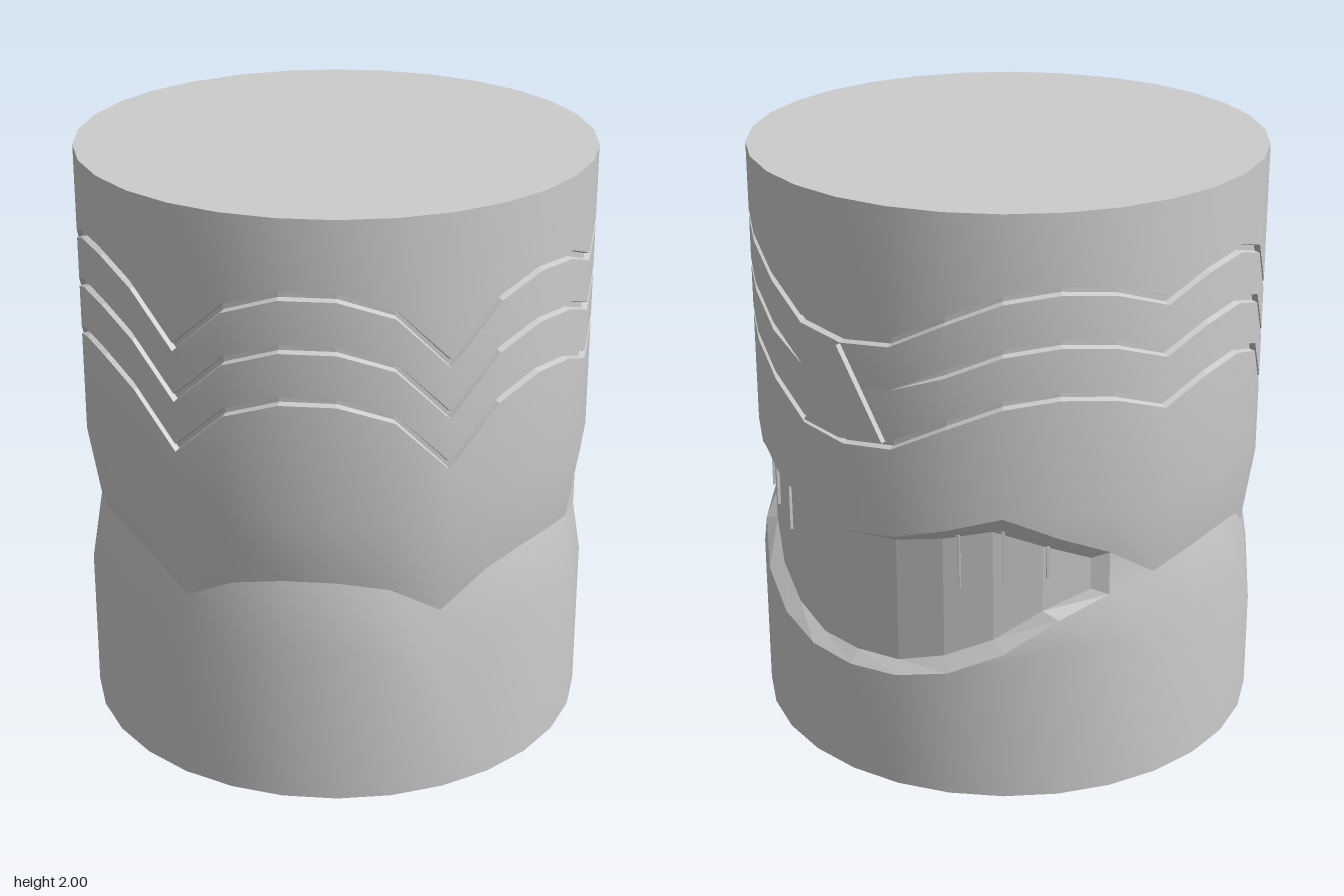
import * as THREE from 'three';
import { ConvexGeometry } from 'three/addons/geometries/ConvexGeometry.js';

const N = 30, R = 0.86, CX = -0.01, STEP = (Math.PI * 2) / N;
const GREY = { color: 0xcccccc };

// Signed column (-14..15); the whole shape mirrors about column 0, which faces +x
const col = k => { const m = ((k % N) + N) % N; return m > 15 ? m - N : m; };
const at = (table, k) => table[Math.abs(col(k))];

// Height of the wave at each column, from column 0 round to column 15
const WAVE = [1.56, 1.58, 1.67, 1.745, 1.77, 1.75, 1.69, 1.755, 1.77, 1.715, 1.53, 1.71, 1.77, 1.77, 1.71, 1.55];
const wave = k => at(WAVE, k);

// Mouth rim and recessed floor, columns 0 to 5
const RIM_TOP = [0.89, 0.91, 0.96, 1.01, 0.93, 0.85], RIM_LOW = [0.40, 0.41, 0.45, 0.53, 0.64, 0.70];
const FLOOR_TOP = [0.87, 0.88, 0.91, 0.945, 0.89, 0.83], FLOOR_LOW = [0.44, 0.445, 0.49, 0.56, 0.66, 0.72];
const RIM_R = [R, R, R, R, 0.85, 0.832];
const inMouth = k => Math.abs(col(k)) <= 5;

// Skin through rows (top to bottom); each row maps a column to [radius, y, angle in columns]
function skin(name, rows, { from = 0, to = N, keep = () => true, flat = false } = {}) {
  const closed = to - from === N, cols = closed ? N : to - from + 1;
  const pos = [], idx = [];
  rows.forEach(row => {
    for (let i = 0; i < cols; i++) {
      const k = from + i, [r, y, a = k] = row(k);
      pos.push(CX + r * Math.cos(a * STEP), y, r * Math.sin(a * STEP));
    }
  });
  for (let j = 0; j < rows.length - 1; j++) {
    for (let i = 0; i < to - from; i++) {
      if (!keep(from + i, j)) continue;
      const n = (i + 1) % cols, tr = j * cols + i, tl = j * cols + n;
      const br = tr + cols, bl = tl + cols;
      idx.push(tl, bl, br, tl, br, tr);
    }
  }
  const geo = new THREE.BufferGeometry();
  geo.setAttribute('position', new THREE.Float32BufferAttribute(pos, 3));
  geo.setIndex(idx);
  geo.computeVertexNormals();
  const mesh = new THREE.Mesh(geo, new THREE.MeshStandardMaterial({ ...GREY, flatShading: flat }));
  mesh.name = name;
  return mesh;
}

export function createModel() {
  const g = new THREE.Group();
  g.name = 'carvedCylinder';

  // Three wavy grooves; the middle one closes behind the triangle
  const groove = i => {
    const open = k => (i === 1 && Math.abs(col(k)) <= 1 ? 0 : 1);
    const y = k => wave(k) - 0.17 * i;
    return {
      top: k => [R, y(k)],
      inTop: k => [R - 0.02 * open(k), y(k) - 0.004 * open(k)],
      inLow: k => [R - 0.02 * open(k), y(k) - 0.022 * open(k)],
      low: k => [R, y(k) - 0.028 * open(k)],
    };
  };
  const grooves = [0, 1, 2].map(groove);
  grooves.forEach((v, i) => {
    g.add(skin('groove' + (i + 1), [v.top, v.inTop, v.inLow, v.low], { flat: true }));
  });

  // Pinched waist, which opens into the mouth on the +x side
  const waist = k => [0.82, 0.78 + (wave(k) - 1.77) * 0.56];
  const rimTop = k => inMouth(k) ? [at(RIM_R, k), at(RIM_TOP, k)] : waist(k);
  const rimLow = k => inMouth(k) ? [at(RIM_R, k), at(RIM_LOW, k)] : waist(k);
  const upper = k => [R, Math.max(0.92 + (wave(k) - 1.54) * 0.43, rimTop(k)[1] + 0.02)];
  const lower = k => [R, Math.min(0.55 + (wave(k) - 1.77) * 0.87, rimLow(k)[1] - 0.02)];

  // Outer wall bands
  g.add(skin('topBand', [() => [R, 2], grooves[0].top]));
  g.add(skin('upperBand', [grooves[0].low, grooves[1].top]));
  g.add(skin('middleBand', [grooves[1].low, grooves[2].top]));
  g.add(skin('waistUpper', [grooves[2].low, upper, rimTop]));
  g.add(skin('waistLower', [rimTop, rimLow, lower, () => [R, 0]], {
    keep: (k, j) => j > 0 || !(inMouth(k) && inMouth(k + 1)),
  }));

  // Mouth recess: sloping rim and floor
  const inner = k => k * 0.935;
  const floorR = k => 0.82 - 0.002 * Math.abs(k);
  const floorTop = k => [floorR(k), at(FLOOR_TOP, k), inner(k)];
  const floorLow = k => [floorR(k), at(FLOOR_LOW, k), inner(k)];
  const mouth = new THREE.Group();
  mouth.name = 'mouth';
  mouth.add(skin('mouthRecess', [rimTop, floorTop, floorLow, rimLow], { from: -5, to: 5, flat: true }));

  // Rim walls at the two mouth corners
  for (const s of [1, -1]) {
    const p = ([r, y, a = 5 * s]) => new THREE.Vector3(CX + r * Math.cos(a * STEP), y, r * Math.sin(a * STEP));
    const k = 5 * s;
    const q = [rimTop(k), floorTop(k), floorLow(k), rimLow(k)].map(p);
    const geo = new THREE.BufferGeometry().setFromPoints([q[0], q[1], q[2], q[0], q[2], q[3]]);
    geo.computeVertexNormals();
    const m = new THREE.Mesh(geo, new THREE.MeshStandardMaterial({ ...GREY, side: THREE.DoubleSide }));
    m.name = 'mouthCorner';
    mouth.add(m);

    // Thin upright tooth ridges on the upper floor
    for (const [deg, top, low] of [[26, 0.93, 0.74], [36, 0.95, 0.77], [46, 0.89, 0.78]]) {
      const a = s * deg * Math.PI / 180;
      const t = new THREE.Mesh(new THREE.BoxGeometry(0.02, top - low, 0.01), new THREE.MeshStandardMaterial(GREY));
      t.position.set(CX + 0.812 * Math.cos(a), (top + low) / 2, 0.812 * Math.sin(a));
      t.rotation.y = -a;
      t.name = 'toothRidge';
      mouth.add(t);
    }
  }
  g.add(mouth);

  // Raised triangle, folded along its middle
  const pts = [];
  for (const d of [0, 0.04]) {
    for (const [x, y, z] of [[0.87, 1.53, 0], [0.87, 1.22, 0], [0.852, 1.235, 0.16], [0.852, 1.235, -0.16]]) {
      pts.push(new THREE.Vector3(x - d, y, z));
    }
  }
  const tri = new THREE.Mesh(new ConvexGeometry(pts), new THREE.MeshStandardMaterial({ ...GREY, flatShading: true }));
  tri.name = 'triangle';
  g.add(tri);

  // End caps
  for (const [name, y, turn] of [['topCap', 2, -1], ['bottomCap', 0, 1]]) {
    const cap = new THREE.Mesh(new THREE.CircleGeometry(R, N), new THREE.MeshStandardMaterial(GREY));
    cap.rotation.x = turn * Math.PI / 2;
    cap.position.set(CX, y, 0);
    cap.name = name;
    g.add(cap);
  }
  return g;
}
